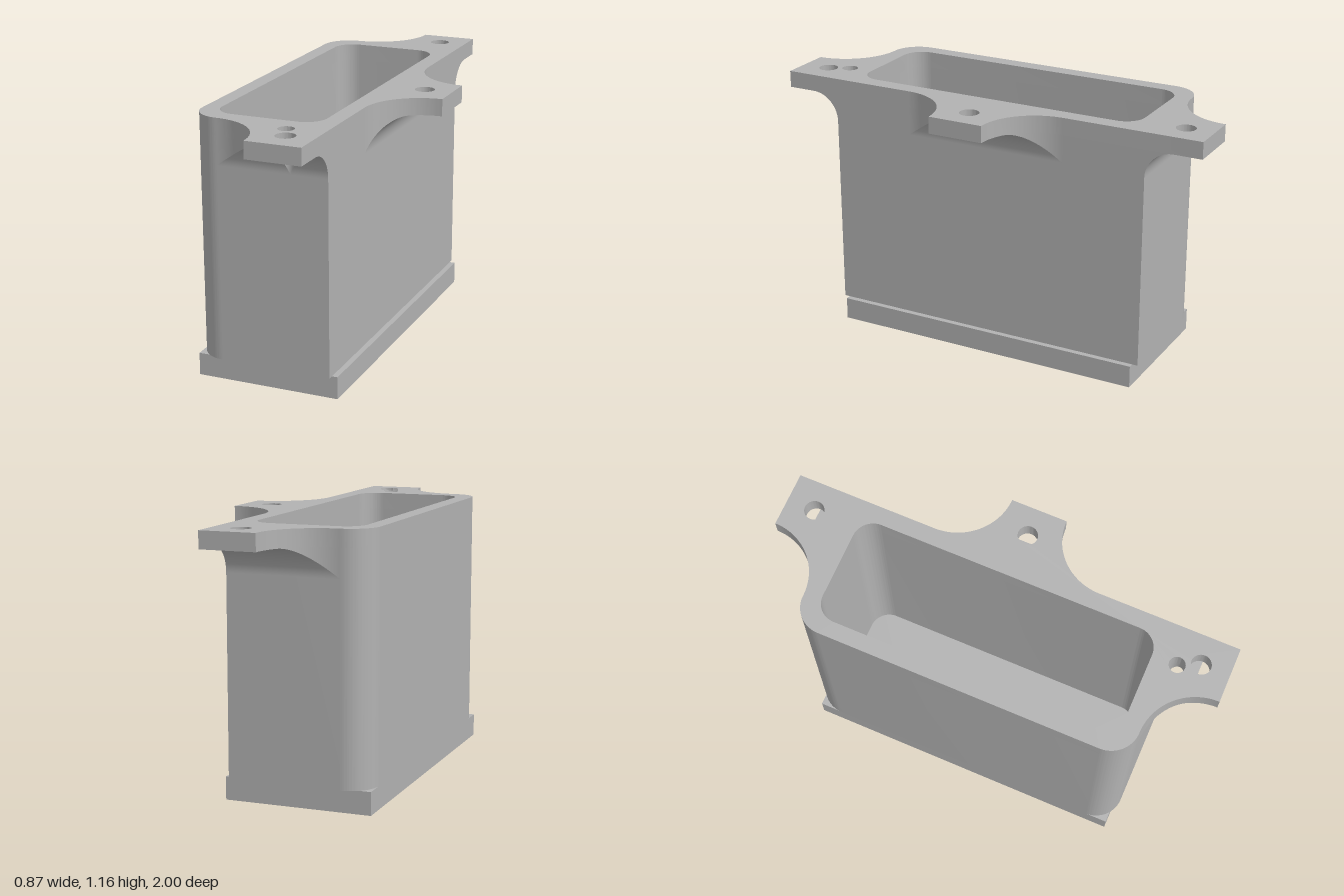
import * as THREE from 'three';
import { mergeGeometries, toCreasedNormals } from 'three/addons/utils/BufferGeometryUtils.js';

const PI = Math.PI;
const FLOOR = 0.1, UNDER = 1.09, TOP = 1.165; // base top, flange underside, rim
const RIGHT = 0.185, HALF = 0.75;             // body wall positions
const R = 0.125, COVE = 0.25;                 // fillet radius, plan cove radius

// Plan shapes use y = -z
function roundRect(x0, x1, h, rLeft, rRight, Type) {
  const s = new Type();
  s.moveTo(x1 - rRight, -h);
  if (rRight) s.absarc(x1 - rRight, -h + rRight, rRight, -PI / 2, 0, false);
  s.lineTo(x1, h - rRight);
  if (rRight) s.absarc(x1 - rRight, h - rRight, rRight, 0, PI / 2, false);
  s.lineTo(x0 + rLeft, h);
  if (rLeft) s.absarc(x0 + rLeft, h - rLeft, rLeft, PI / 2, PI, false);
  s.lineTo(x0, -h + rLeft);
  if (rLeft) s.absarc(x0 + rLeft, -h + rLeft, rLeft, PI, 1.5 * PI, false);
  s.closePath();
  return s;
}

const circle = (x, z, r) => new THREE.Path().absarc(x, -z, r, 0, 2 * PI, true);
const cavity = () => roundRect(-0.365, 0.11, 0.675, 0.09, 0.09, THREE.Path);

function slab(shape, holes, y0, y1) {
  shape.holes.push(...holes);
  const g = new THREE.ExtrudeGeometry(shape, { depth: y1 - y0, bevelEnabled: false, curveSegments: 24 });
  g.rotateX(-PI / 2).translate(0, y0, 0);
  return toCreasedNormals(g, 0.6);
}

function flangeShape() {
  const s = new THREE.Shape();
  s.moveTo(RIGHT, -1);
  s.lineTo(RIGHT, -0.375);
  s.absarc(0.435, -0.375, COVE, PI, PI / 2, true);
  s.lineTo(0.435, 0.125);
  s.absarc(0.435, 0.375, COVE, -PI / 2, -PI, true);
  s.lineTo(RIGHT, 1);
  s.lineTo(-0.06, 1);
  s.absarc(-0.31, 1, COVE, 0, -PI / 2, true);
  s.absarc(-0.31, 0.625, R, PI / 2, PI, false);
  s.lineTo(-0.435, -0.625);
  s.absarc(-0.31, -0.625, R, PI, 1.5 * PI, false);
  s.absarc(-0.31, -1, COVE, PI / 2, 0, true);
  s.closePath();
  return s;
}

// Concave fillet under a tab: grows out along z, spans x from a(d) to b(d)
function filletGeometry(a, b) {
  const N = 48, rows = [];
  for (let i = 0; i <= N; i++) {
    const t = (i / N) * PI / 2, d = R * (1 - Math.cos(t)), y = UNDER - R + R * Math.sin(t);
    rows.push([[a(d), UNDER, d], [a(d), y, d], [b(d), y, d], [b(d), UNDER, d]]);
  }
  const strips = [0, 1, 2, 3].map((k) => {
    const pos = [], idx = [];
    rows.forEach((row, i) => {
      pos.push(...row[k], ...row[(k + 1) % 4]);
      if (i < N) {
        const p = 2 * i;
        idx.push(p, p + 1, p + 3, p, p + 3, p + 2);
      }
    });
    const g = new THREE.BufferGeometry();
    g.setAttribute('position', new THREE.Float32BufferAttribute(pos, 3));
    g.setIndex(idx);
    g.computeVertexNormals();
    return g;
  });
  return mergeGeometries(strips);
}

export function createModel() {
  const model = new THREE.Group();
  const grey = new THREE.MeshStandardMaterial({ color: 0xb2b2b2 });
  grey.name = 'grey';
  const add = (name, geometry) => {
    const m = new THREE.Mesh(geometry, grey);
    m.name = name;
    model.add(m);
    return m;
  };

  // Base plate with two drain holes
  add('basePlate', slab(roundRect(-0.435, 0.21, 0.725, 0, 0, THREE.Shape),
    [circle(-0.115, 0.5, 0.043), circle(-0.115, -0.5, 0.043)], 0, FLOOR));

  // Hollow body, rounded on its -x corners
  add('body', slab(roundRect(-0.435, RIGHT, HALF, R, 0, THREE.Shape), [cavity()], FLOOR, UNDER));

  // Flange with three mounting tabs
  const pin = { x: 0.02, d: 0.035, r: 0.035 };
  add('flange', slab(flangeShape(), [
    cavity(), circle(0.06, 0.875, 0.043), circle(0.06, -0.875, 0.043),
    circle(0.31, 0, 0.043), circle(pin.x, HALF + pin.d, pin.r),
  ], UNDER, TOP));

  // Fillets below the tabs, following the coved plan outline
  const cove = (d) => Math.sqrt(COVE ** 2 - (COVE - d) ** 2);
  const edge = (d) => -0.31 + cove(d);
  const pinHalf = (d) => Math.sqrt(Math.max(0, pin.r ** 2 - (d - pin.d) ** 2));

  // The front one is split in two around the pin hole
  add('frontFilletOuter', filletGeometry(edge, (d) => pin.x - pinHalf(d))).position.z = HALF;
  add('frontFilletInner', filletGeometry((d) => pin.x + pinHalf(d), () => RIGHT)).position.z = HALF;

  const back = add('backFillet', filletGeometry(() => -RIGHT, (d) => -edge(d)));
  back.rotation.y = PI;
  back.position.z = -HALF;

  const side = add('sideFillet', filletGeometry((d) => cove(d) - 0.375, (d) => 0.375 - cove(d)));
  side.rotation.y = PI / 2;
  side.position.x = RIGHT;

  return model;
}
